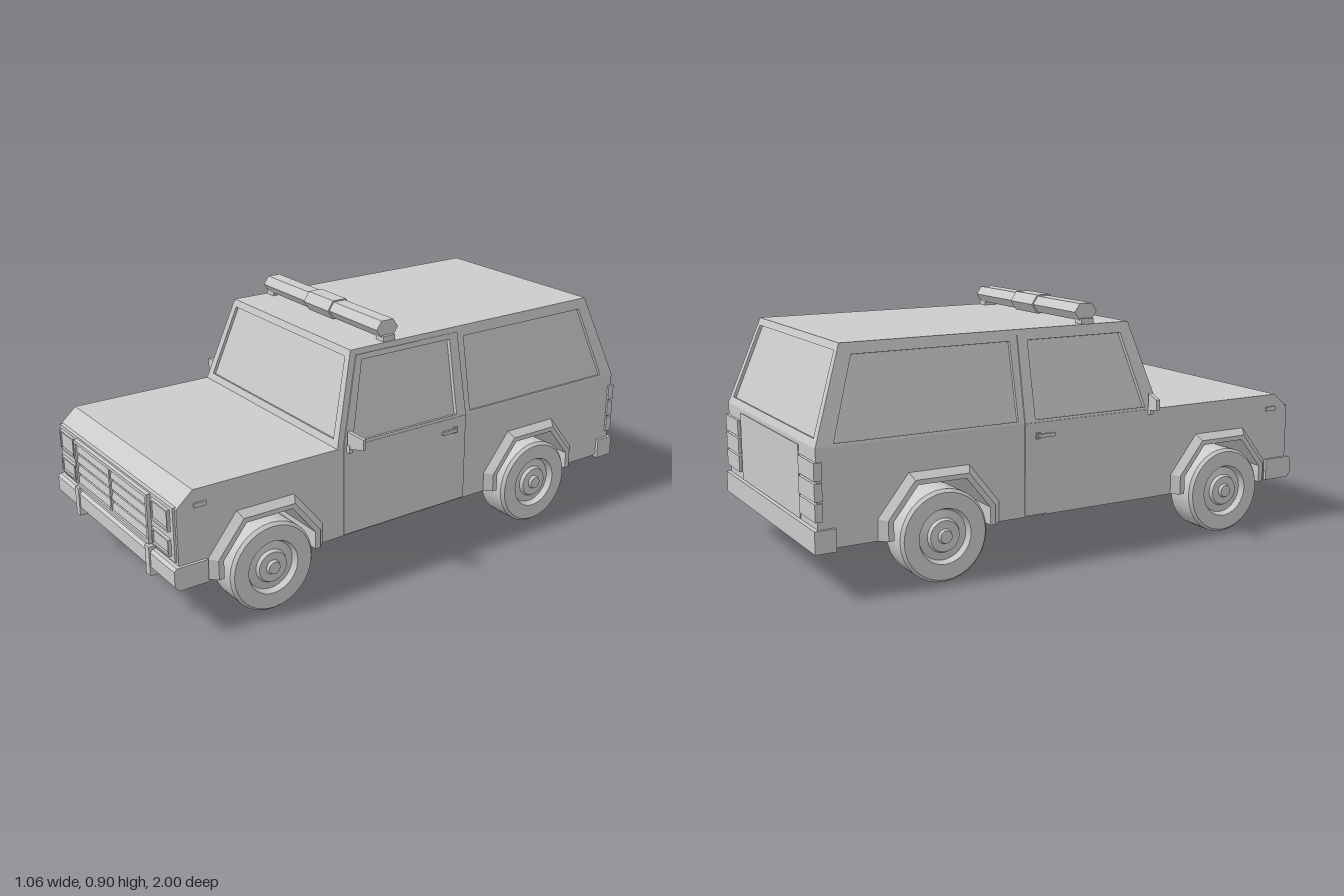
import * as THREE from 'three';
import { toCreasedNormals } from 'three/addons/utils/BufferGeometryUtils.js';

const grey = new THREE.MeshStandardMaterial({ color: 0xcccccc });
const V = (x, y, z) => new THREE.Vector3(x, y, z);
const shapeOf = (pts) => new THREE.Shape(pts.map(([x, y]) => new THREE.Vector2(x, y)));

// Flip a geometry across x = 0 and keep its faces pointing outward.
function mirrored(geo) {
  const g = geo.index ? geo.toNonIndexed() : geo.clone();
  g.scale(-1, 1, 1);
  for (const attr of Object.values(g.attributes)) {
    const n = attr.itemSize;
    for (let i = 0; i < attr.count; i += 3) {
      for (let k = 0; k < n; k++) {
        const p = (i + 1) * n + k, q = (i + 2) * n + k;
        [attr.array[p], attr.array[q]] = [attr.array[q], attr.array[p]];
      }
    }
  }
  return g;
}

// Extrude a (z, y) outline across the car between x0 and x1.
function sideExtrude(pts, x0, x1) {
  const g = new THREE.ExtrudeGeometry(shapeOf(pts), { depth: x1 - x0, bevelEnabled: false });
  return g.rotateY(-Math.PI / 2).translate(x1, 0, 0);
}

function boxGeo(x0, x1, y0, y1, z0, z1) {
  return new THREE.BoxGeometry(x1 - x0, y1 - y0, z1 - z0)
    .translate((x0 + x1) / 2, (y0 + y1) / 2, (z0 + z1) / 2);
}

// Slab on the face a, b, c, d; outline and holes are in fractions (s along, t up) of the face.
const SQUARE = [[0, 0], [1, 0], [1, 1], [0, 1]];
function panel([a, b, c, d], holes = [], outline = SQUARE, lift = 0, thick = 0.02) {
  const u = b.clone().sub(a).normalize();
  const n = u.clone().cross(d.clone().sub(a)).normalize();
  const v = n.clone().cross(u);
  const flat = ([s, t]) => {
    const p = a.clone().lerp(b, s).lerp(d.clone().lerp(c, s), t).sub(a);
    return [p.dot(u), p.dot(v)];
  };
  const shape = shapeOf(outline.map(flat));
  shape.holes = holes.map((h) => shapeOf(h.map(flat)));
  const g = new THREE.ExtrudeGeometry(shape, { depth: thick, bevelEnabled: false });
  const m = new THREE.Matrix4().makeBasis(u, v, n).setPosition(a.clone().addScaledVector(n, lift - thick));
  return g.applyMatrix4(m);
}

// Wheel arch outline around zc, from the front foot to the rear foot.
const arch = (zc, w, shoulder, top, h) => [
  [zc + w, 0.17], [zc + w, shoulder], [zc + top, h], [zc - top, h], [zc - w, shoulder], [zc - w, 0.17]];

// Arch flare lofted through four copies of the arch outline.
function flareGeo(zc) {
  const rows = [
    [0.445, arch(zc, 0.232, 0.245, 0.115, 0.392)], [0.475, arch(zc, 0.2, 0.24, 0.1, 0.365)],
    [0.475, arch(zc, 0.18, 0.235, 0.09, 0.348)], [0.445, arch(zc, 0.18, 0.235, 0.09, 0.348)]];
  const pos = [];
  const put = (r, i) => pos.push(rows[r][0], rows[r][1][i][1], rows[r][1][i][0]);
  for (let r = 0; r < 3; r++) {
    for (let i = 0; i < 5; i++) {
      put(r, i); put(r + 1, i); put(r + 1, i + 1);
      put(r, i); put(r + 1, i + 1); put(r, i + 1);
    }
  }
  // close the two feet
  for (const [i, order] of [[0, [0, 2, 1, 0, 3, 2]], [5, [0, 1, 2, 0, 2, 3]]]) order.forEach((r) => put(r, i));
  const g = new THREE.BufferGeometry();
  g.setAttribute('position', new THREE.Float32BufferAttribute(pos, 3));
  g.computeVertexNormals();
  return g;
}

export function createModel() {
  const car = new THREE.Group();
  const thin = grey.clone();
  thin.side = THREE.DoubleSide;
  const add = (name, geo, mat = grey) => {
    const m = new THREE.Mesh(geo, mat);
    m.name = name;
    car.add(m);
  };
  const pair = (name, geo, mat) => {
    add(name + 'Left', geo, mat);
    add(name + 'Right', mirrored(geo), mat);
  };
  const axles = [0.64, -0.55];

  // Lower body with wheel tunnels
  add('body', sideExtrude([
    [-0.985, 0.17], [-0.985, 0.505], [0.91, 0.505], [0.972, 0.45], [0.972, 0.17],
    ...axles.flatMap((z) => arch(z, 0.18, 0.235, 0.09, 0.348))], -0.45, 0.45));

  // Cabin: window frames over a slightly smaller glass core
  const X0 = 0.45, X1 = 0.385, Y0 = 0.505, Y1 = 0.825, F0 = 0.35, F1 = 0.25, R0 = -0.985, R1 = -0.87;
  const side = [V(X0, Y0, F0), V(X0, Y0, R0), V(X1, Y1, R1), V(X1, Y1, F1)];
  const doorWindow = [[0.045, 0.03], [0.395, 0.03], [0.385, 0.88], [0.045, 0.88]];
  const rearWindow = [[0.445, 0.03], [0.955, 0.03], [0.955, 0.88], [0.445, 0.88]];
  const endWindow = [[0.035, 0.08], [0.965, 0.08], [0.965, 0.92], [0.035, 0.92]];
  pair('cabinSide', panel(side, [doorWindow, rearWindow]));
  pair('doorFrame', panel(side, [doorWindow], [[0.018, 0], [0.427, 0], [0.418, 0.94], [0.022, 0.94]], 0.004, 0.012));
  add('windshieldFrame', panel([V(-X0, Y0, F0), V(X0, Y0, F0), V(X1, Y1, F1), V(-X1, Y1, F1)], [endWindow]));
  add('rearWindowFrame', panel([V(X0, Y0, R0), V(-X0, Y0, R0), V(-X1, Y1, R1), V(X1, Y1, R1)], [endWindow]));
  add('roof', panel([V(-X1, Y1, F1), V(X1, Y1, F1), V(X1, Y1, R1), V(-X1, Y1, R1)]));
  const glass = new THREE.BoxGeometry(1, 1, 1);
  const p = glass.attributes.position;
  for (let i = 0; i < p.count; i++) {
    const top = p.getY(i) > 0;
    p.setXYZ(i, Math.sign(p.getX(i)) * ((top ? X1 : X0) - 0.011), top ? Y1 - 0.002 : Y0 - 0.002,
      p.getZ(i) > 0 ? (top ? F1 : F0) - 0.011 : (top ? R1 : R0) + 0.011);
  }
  glass.computeVertexNormals();
  add('glass', glass);

  // Doors, handles, marker lights, mirrors
  pair('door', boxGeo(0.44, 0.454, 0.175, 0.505, -0.22, 0.325));
  pair('doorHandle', boxGeo(0.458, 0.466, 0.452, 0.465, -0.175, -0.105));
  pair('handleMount', boxGeo(0.45, 0.46, 0.447, 0.47, -0.178, -0.16));
  pair('markerLight', boxGeo(0.445, 0.457, 0.442, 0.458, 0.865, 0.91));
  const mirror = new THREE.ExtrudeGeometry(
    shapeOf([[0, 0], [0.072, 0.015], [0.072, 0.053], [0, 0.065]]), { depth: 0.014, bevelEnabled: false });
  pair('mirror', mirror.rotateY(0.22).translate(0.455, 0.5, 0.3));
  pair('mirrorBracket', boxGeo(0.44, 0.47, 0.487, 0.515, 0.3, 0.314));

  // Arch flares and wheels
  const tyre = new THREE.LatheGeometry([
    [0, 0.37], [0.162, 0.37], [0.162, 0.478], [0.152, 0.49], [0.097, 0.49], [0.088, 0.468],
    [0.06, 0.474], [0.054, 0.487], [0.026, 0.487], [0.022, 0.498], [0, 0.498],
  ].map(([r, y]) => new THREE.Vector2(r, y)), 32).rotateZ(-Math.PI / 2);
  axles.forEach((z, i) => {
    const end = i ? 'rear' : 'front';
    pair(end + 'Flare', flareGeo(z), thin);
    pair(end + 'Wheel', toCreasedNormals(tyre.clone().translate(0, 0.162, z), 0.5));
  });

  // Nose: surround, grille with slats, lamps
  add('noseSurround', boxGeo(-0.44, 0.44, 0.262, 0.455, 0.96, 0.98));
  const frame = (w, h, t, depth) => {
    const s = shapeOf([[-w, -h], [w, -h], [w, h], [-w, h]]);
    s.holes.push(shapeOf([[-w + t, -h + t], [w - t, -h + t], [w - t, h - t], [-w + t, h - t]]));
    return new THREE.ExtrudeGeometry(s, { depth, bevelEnabled: false });
  };
  add('grilleFrame', frame(0.287, 0.09, 0.012, 0.017).translate(0, 0.358, 0.978));
  for (let i = 0; i < 4; i++) {
    const y = 0.297 + i * 0.04;
    add('grilleSlat', sideExtrude([[0.978, y - 0.014], [0.99, y - 0.014], [0.985, y + 0.014], [0.978, y + 0.014]], -0.275, 0.275));
  }
  add('grilleBar', boxGeo(-0.005, 0.005, 0.275, 0.44, 0.978, 0.993));
  for (const [name, y, h] of [['headlight', 0.404, 0.038], ['turnSignal', 0.308, 0.03]]) {
    pair(name + 'Frame', frame(0.059, h, 0.006, 0.013).translate(0.362, y, 0.978));
    pair(name, boxGeo(0.31, 0.414, y - h + 0.009, y + h - 0.009, 0.97, 0.986));
  }

  // Bumpers and guards
  add('frontBumper', sideExtrude([[0.87, 0.168], [0.98, 0.168], [0.995, 0.186], [0.995, 0.24], [0.985, 0.25], [0.87, 0.25]], -0.461, 0.461));
  pair('bumperGuard', sideExtrude([[0.915, 0.15], [1, 0.155], [1, 0.262], [0.975, 0.262], [0.975, 0.168], [0.915, 0.168]], 0.265, 0.294));
  add('rearBumper', boxGeo(-0.461, 0.461, 0.16, 0.238, -1, -0.925));

  // Tail lights and tailgate
  for (const y of [0.265, 0.332, 0.4]) pair('tailLight', boxGeo(0.315, 0.457, y, y + 0.06, -0.995, -0.968));
  add('tailgate', boxGeo(-0.3, 0.3, 0.24, 0.49, -0.988, -0.98));

  // Roof light bar
  const hex = (r, h) => [[0.08 + r, 0.868], [0.08 + r * 0.55, 0.868 + h], [0.08 - r * 0.55, 0.868 + h],
    [0.08 - r, 0.868], [0.08 - r * 0.55, 0.868 - h], [0.08 + r * 0.55, 0.868 - h]];
  add('lightBar', sideExtrude(hex(0.046, 0.03), -0.368, 0.368));
  add('lightBarCentre', sideExtrude(hex(0.052, 0.035), -0.079, 0.079));
  pair('lightBarFoot', boxGeo(0.335, 0.38, 0.82, 0.845, 0.055, 0.105));
  return car;
}
